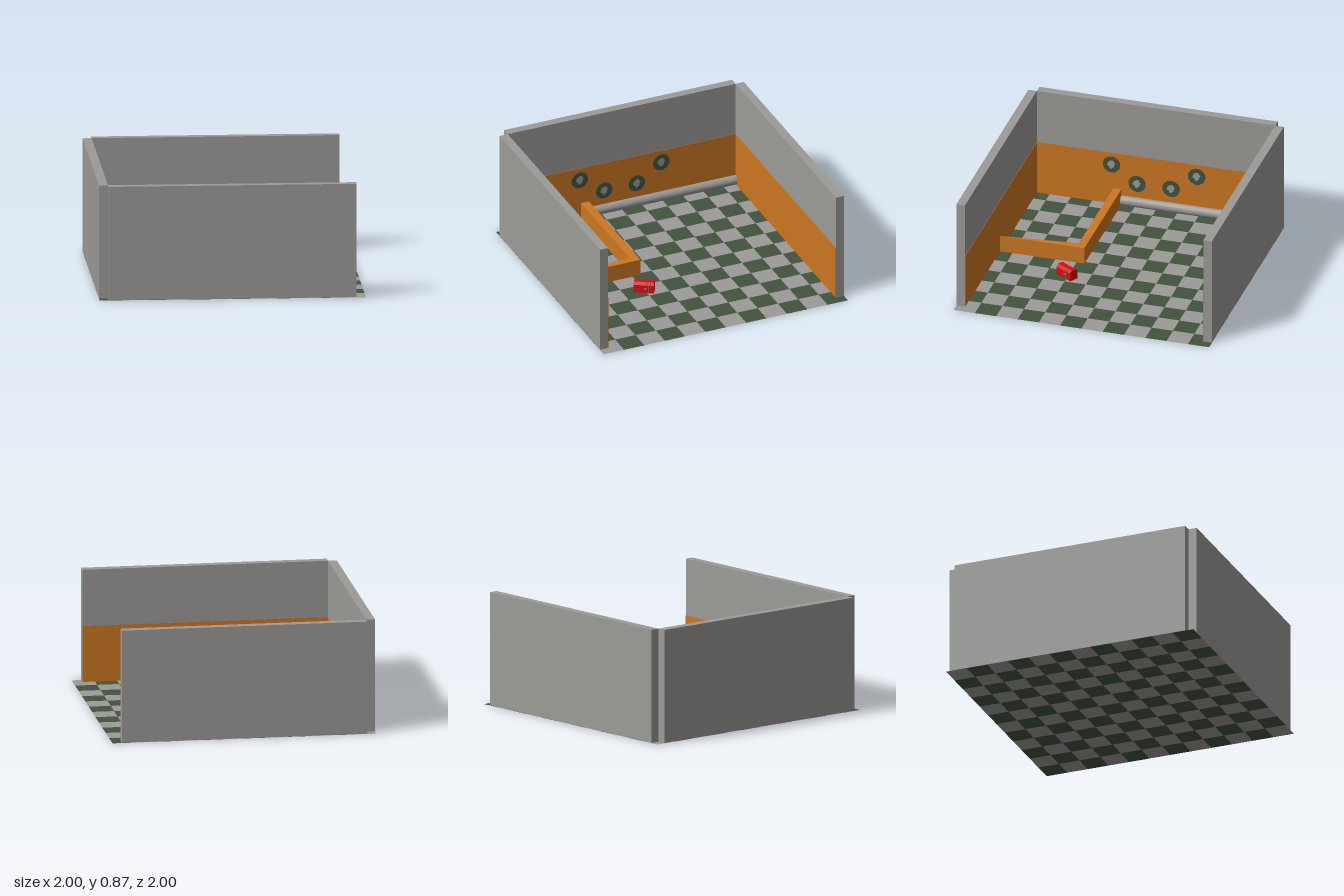
import * as THREE from 'three';
import { mergeGeometries } from 'three/addons/utils/BufferGeometryUtils.js';

const flat = (name, color, side = THREE.FrontSide) => {
  const m = new THREE.MeshStandardMaterial({ color, side });
  m.name = name;
  return m;
};

export function createModel() {
  const room = new THREE.Group();
  room.name = 'tiledRoom';
  const grey = flat('plasterGrey', 0x9c9b98, THREE.DoubleSide);
  const green = flat('darkGreen', 0x42533f, THREE.DoubleSide);
  const ochre = flat('ochre', 0xcc7722);
  const red = flat('red', 0xd80d0d);
  const steel = flat('steel', 0x66706f);

  const add = (name, geometry, material, parent = room) => {
    const mesh = new THREE.Mesh(geometry, material);
    mesh.name = name;
    parent.add(mesh);
    return mesh;
  };
  // Box given by its lower and upper limits on each axis
  const block = (name, [x0, x1], [y0, y1], [z0, z1], material, parent) => {
    const mesh = add(name, new THREE.BoxGeometry(x1 - x0, y1 - y0, z1 - z0), material, parent);
    mesh.position.set((x0 + x1) / 2, (y0 + y1) / 2, (z0 + z1) / 2);
    return mesh;
  };

  // Checkered floor, twelve by twelve tiles
  const tiles = [[], []];
  const size = 2 / 12;
  for (let i = 0; i < 12; i++) {
    for (let j = 0; j < 12; j++) {
      const tile = new THREE.PlaneGeometry(size, size).rotateX(-Math.PI / 2);
      tiles[(i + j) % 2].push(tile.translate(-1 + (i + 0.5) * size, 0, -1 + (j + 0.5) * size));
    }
  }
  add('lightFloorTiles', mergeGeometries(tiles[0]), grey);
  add('darkFloorTiles', mergeGeometries(tiles[1]), green);

  // Three walls with open corners, each with a painted lower half inside
  const W = 0.933, H = 0.867, base = 0.002, skin = 0.003;
  block('rightWall', [-1, -W], [base, H], [-W, W], grey);
  block('rightWallPaint', [-W, -W + skin], [base, H / 2], [-W, W], ochre);
  for (const [side, s] of [['front', 1], ['back', -1]]) {
    const span = (a, b) => [Math.min(a * s, b * s), Math.max(a * s, b * s)];
    block(side + 'Wall', [-W, W - 0.003], [base, H], span(W, 1), grey);
    block(side + 'WallPaint', [-W, W - 0.003], [base, H / 2], span(W - skin, W), ochre);
  }

  // Low partition with a tapering return running to the front wall
  const plan = new THREE.Shape([
    [-W, 0.27], [0.028, 0.27], [0.028, W], [-0.035, 0.333], [-W, 0.333],
  ].map(([x, z]) => new THREE.Vector2(x, -z)));
  const partition = add('lowPartition',
    new THREE.ExtrudeGeometry(plan, { depth: 0.131, bevelEnabled: false }), ochre);
  partition.rotation.x = -Math.PI / 2;
  partition.position.y = base;

  // Half-round trough along the foot of the wall
  const trough = add('wallTrough',
    new THREE.CylinderGeometry(0.04, 0.04, W + 0.27, 24, 1, false, 0, Math.PI), grey);
  trough.rotation.x = Math.PI / 2;
  trough.position.set(-W, 0.042, (0.27 - W) / 2);

  // Round wall plates with a ragged pale patch
  const radii = [0.024, 0.034, 0.03, 0.038, 0.037, 0.033, 0.034, 0.031,
    0.034, 0.03, 0.022, 0.033, 0.037, 0.026, 0.031, 0.02];
  const patch = new THREE.Shape(radii.map((r, k) => {
    const a = (k / radii.length) * Math.PI * 2;
    return new THREE.Vector2(r * Math.cos(a), r * Math.sin(a));
  }));
  for (const [z, y] of [[0.347, 0.335], [0.147, 0.2], [-0.12, 0.2], [-0.32, 0.335]]) {
    const plate = new THREE.Group();
    plate.name = 'wallPlate';
    plate.rotation.y = Math.PI / 2;
    plate.position.set(-W + skin, y, z);
    room.add(plate);
    const disc = add('plateDisc', new THREE.CylinderGeometry(0.067, 0.067, 0.006, 32), green, plate);
    disc.rotation.x = Math.PI / 2;
    disc.position.z = 0.003;
    add('platePatch', new THREE.ShapeGeometry(patch), grey, plate).position.z = 0.008;
  }

  // Red case on the floor: straight sides with a bevelled top
  const redCase = new THREE.Group();
  redCase.name = 'redCase';
  redCase.position.set(0.253, base, 0.338);
  redCase.rotation.y = -Math.PI * 0.18 - Math.PI;
  room.add(redCase);
  const profile = new THREE.Shape([
    [-0.036, 0], [0.036, 0], [0.036, 0.064], [0.02, 0.084], [-0.02, 0.084], [-0.036, 0.064],
  ].map(([x, y]) => new THREE.Vector2(x, y)));
  add('caseBody', new THREE.ExtrudeGeometry(profile, { depth: 0.154, bevelEnabled: false })
    .translate(0, 0, -0.077), red, redCase);

  // Forked latch on the outer side of the case
  const rod = (name, from, to, r = 0.004) => {
    const a = new THREE.Vector3(...from), b = new THREE.Vector3(...to);
    const mesh = add(name, new THREE.CylinderGeometry(r, r, a.distanceTo(b), 8), steel, redCase);
    mesh.position.copy(a).add(b).multiplyScalar(0.5);
    mesh.quaternion.setFromUnitVectors(new THREE.Vector3(0, 1, 0), b.sub(a).normalize());
  };
  const lx = -0.046, lz = 0.04;
  rod('latchPin', [-0.03, 0.045, lz], [lx, 0.045, lz], 0.006);
  rod('latchStem', [lx, 0.015, lz], [lx, 0.068, lz], 0.005);
  for (const s of [-1, 1]) rod('latchFork', [lx, 0.066, lz], [lx, 0.086, lz + s * 0.014]);
  block('caseLabel', [-0.038, -0.035], [0.03, 0.042], [0.005, 0.017], grey, redCase);

  return room;
}
